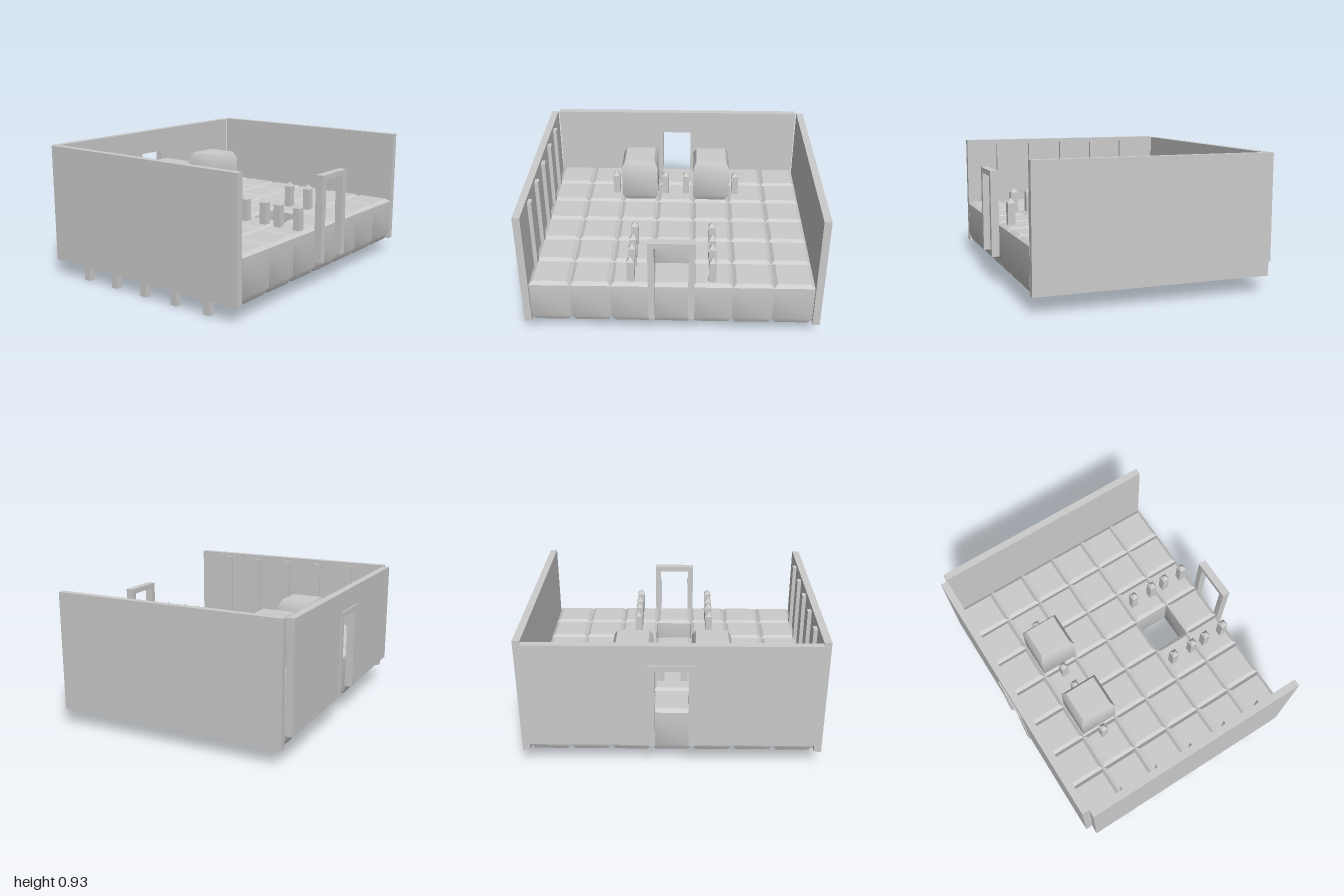
import * as THREE from 'three';
import { toCreasedNormals } from 'three/addons/utils/BufferGeometryUtils.js';

const material = new THREE.MeshStandardMaterial({ color: 0xcccccc });
const PITCH = 0.27;
const FLOOR_TOP = 0.43;

// Square solid from a profile of [half width, height] pairs
function squareLathe(profile) {
  const points = profile.map(([half, y]) => new THREE.Vector2(half * Math.SQRT2, y));
  const geometry = new THREE.LatheGeometry(points, 4);
  geometry.rotateY(Math.PI / 4);
  return toCreasedNormals(geometry, 0.6);
}

// Stone block with bevelled bottom and top edges
function blockGeometry(height, topBevel) {
  const h = PITCH / 2;
  const inner = h - 0.025;
  return squareLathe([
    [0, 0], [inner, 0], [h, 0.05], [h, height - topBevel], [inner, height], [0, height],
  ]);
}

// Upside-down U outline, open at the bottom
function archShape(outerHalf, innerHalf, bottom, innerTop, outerTop) {
  return new THREE.Shape([
    [-outerHalf, bottom], [-innerHalf, bottom], [-innerHalf, innerTop], [innerHalf, innerTop],
    [innerHalf, bottom], [outerHalf, bottom], [outerHalf, outerTop], [-outerHalf, outerTop],
  ].map(([x, y]) => new THREE.Vector2(x, y)));
}

export function createModel() {
  const model = new THREE.Group();

  function add(name, geometry, x = 0, y = 0, z = 0, parent = model) {
    const mesh = new THREE.Mesh(geometry, material);
    mesh.name = name;
    mesh.position.set(x, y, z);
    parent.add(mesh);
    return mesh;
  }
  function addGroup(name) {
    const group = new THREE.Group();
    group.name = name;
    model.add(group);
    return group;
  }

  // Floor of 7 x 6 blocks with a pit in the middle of the fifth row
  const floor = addGroup('floor');
  const floorBlock = blockGeometry(FLOOR_TOP - 0.11, 0.02);
  for (let row = 0; row < 6; row++) {
    for (let col = -3; col <= 3; col++) {
      if (row === 4 && col === 0) continue;
      add('floorBlock', floorBlock, col * PITCH, 0.11, (row - 2.5) * PITCH, floor);
    }
  }

  // Pair of taller blocks standing on the floor
  const pillar = blockGeometry(0.33, 0.05);
  for (const side of [-1, 1]) add('pillarBlock', pillar, side * PITCH, FLOOR_TOP, -1.5 * PITCH);

  // Side walls
  const sideWall = new THREE.BoxGeometry(0.05, 0.82, 1.62);
  for (const side of [-1, 1]) add('sideWall', sideWall, side * 0.975, 0.52, 0);

  // Back wall with its doorway
  const backWall = new THREE.ExtrudeGeometry(
    archShape(0.945, 0.15, 0.19, 0.785, 0.925), { depth: 0.05, bevelEnabled: false });
  add('backWall', backWall, 0, 0, -0.86);

  // Door frames at the front and back
  const frame = new THREE.ExtrudeGeometry(
    archShape(0.152, 0.11, 0.19, 0.75, 0.788), { depth: 0.055, bevelEnabled: false });
  add('frontDoorFrame', frame, 0, 0, 0.81);
  add('backDoorFrame', frame, 0, 0, -0.87);

  // Posts along the right wall, reaching below the floor
  const wallPost = new THREE.BoxGeometry(0.048, 0.9, 0.05);
  for (let i = -2; i <= 2; i++) add('wallPost', wallPost, -0.947, 0.45, i * PITCH + 0.007);

  // Small pointed posts around the pit and the pillars
  const stake = squareLathe([[0, 0], [0.025, 0], [0.025, 0.165], [0, 0.2]]);
  const stakes = addGroup('pointedPosts');
  for (const side of [-1, 1]) {
    for (const z of [0.325, 0.485, 0.6, 0.755]) {
      add('pointedPost', stake, side * 0.27, 0.415, z, stakes);
    }
    for (const x of [0.08, 0.46]) add('pointedPost', stake, side * x, 0.415, -0.405, stakes);
  }

  return model;
}
